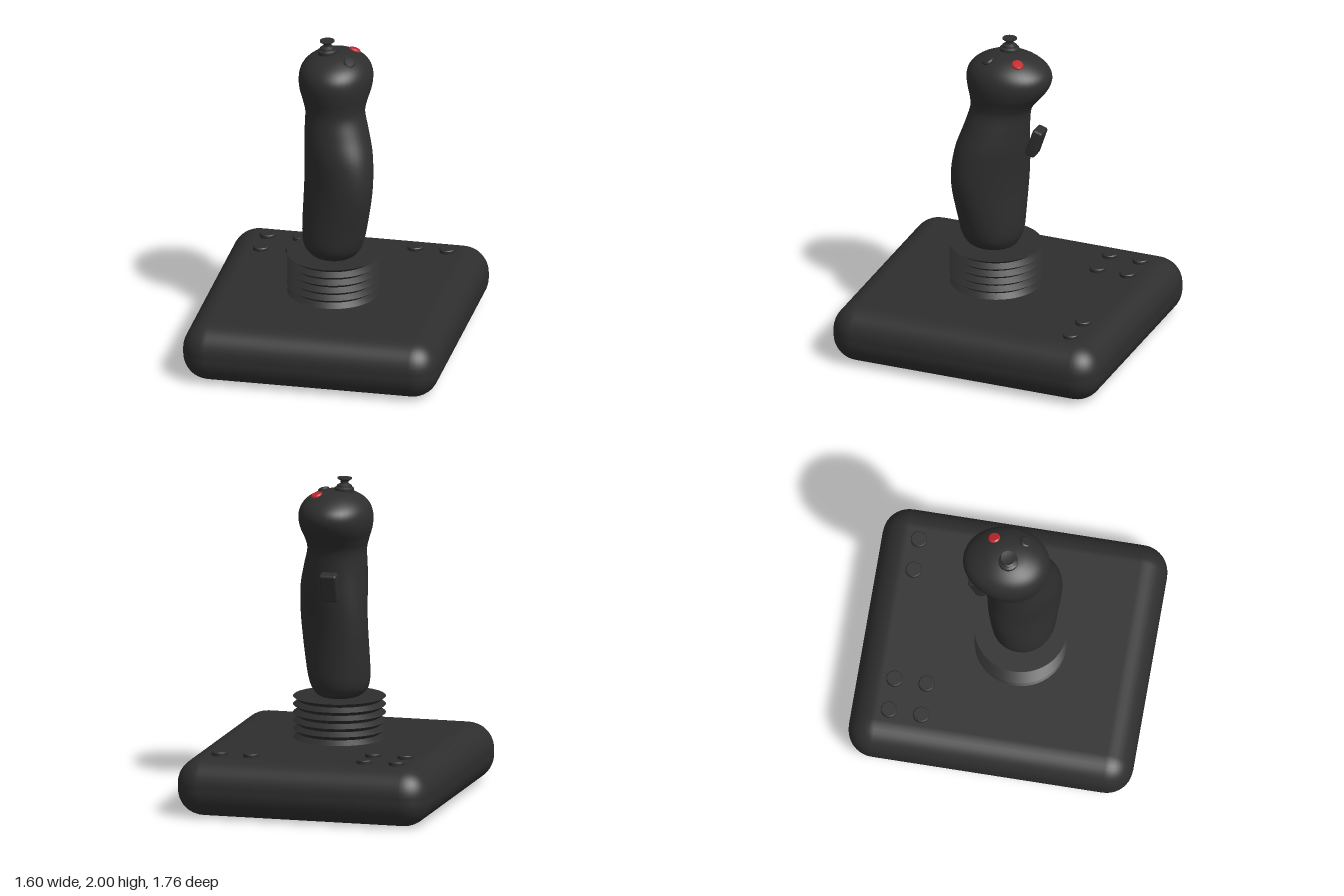
import * as THREE from 'three';
import { toCreasedNormals } from 'three/addons/utils/BufferGeometryUtils.js';
import { RoundedBoxGeometry } from 'three/addons/geometries/RoundedBoxGeometry.js';

// Grip sections: y, left x, right x, front z, back z
const SECTIONS = [
  [0.615, 0.0, 0.001, 0.101, 0.1],
  [0.62, -0.11, 0.12, 0.22, -0.03],
  [0.66, -0.165, 0.17, 0.265, -0.068],
  [0.72, -0.187, 0.197, 0.288, -0.09],
  [0.82, -0.192, 0.22, 0.297, -0.098],
  [1.0, -0.19, 0.253, 0.312, -0.107],
  [1.14, -0.187, 0.266, 0.315, -0.116],
  [1.3, -0.185, 0.256, 0.298, -0.124],
  [1.44, -0.183, 0.22, 0.258, -0.129],
  [1.55, -0.181, 0.19, 0.231, -0.143],
  [1.62, -0.199, 0.198, 0.235, -0.187],
  [1.69, -0.222, 0.218, 0.251, -0.245],
  [1.76, -0.229, 0.226, 0.26, -0.276],
  [1.82, -0.216, 0.214, 0.246, -0.264],
  [1.87, -0.178, 0.178, 0.2, -0.21],
  [1.908, -0.115, 0.115, 0.125, -0.135],
  [1.922, -0.055, 0.055, 0.06, -0.07],
  [1.925, -0.001, 0.001, 0.0, -0.002],
];

// Smooth loft through the grip sections; the palm swell leans to front and +x
function gripGeometry(rows = 85, cols = 40) {
  const a = new THREE.CatmullRomCurve3(SECTIONS.map(s => new THREE.Vector3(s[1], s[0], s[3])), false, 'catmullrom', 0.5);
  const b = new THREE.CatmullRomCurve3(SECTIONS.map(s => new THREE.Vector3(s[2], s[0], s[4])), false, 'catmullrom', 0.5);
  const pos = [], index = [];
  for (let j = 0; j <= rows; j++) {
    const p = a.getPoint(j / rows), q = b.getPoint(j / rows);
    const lean = 0.36 * Math.exp(-(((p.y - 1.1) / 0.32) ** 2));
    for (let i = 0; i < cols; i++) {
      const t = i / cols * Math.PI * 2;
      pos.push(
        (p.x + q.x) / 2 + (q.x - p.x) / 2 * Math.cos(t),
        p.y,
        (p.z + q.z) / 2 + (p.z - q.z) / 2 * Math.sin(t + lean));
      if (j < rows) {
        const n = (i + 1) % cols, r = j * cols, u = r + cols;
        index.push(r + i, u + i, r + n, u + i, u + n, r + n);
      }
    }
  }
  const g = new THREE.BufferGeometry();
  g.setAttribute('position', new THREE.Float32BufferAttribute(pos, 3));
  g.setIndex(index);
  g.computeVertexNormals();
  return g;
}

const lathe = (pts, segments) => toCreasedNormals(
  new THREE.LatheGeometry(pts.map(p => new THREE.Vector2(p[0], p[1])), segments), 0.5);

export function createModel() {
  const group = new THREE.Group();
  const black = new THREE.MeshStandardMaterial({ color: 0x2e2e2e });
  black.name = 'black plastic';
  const red = new THREE.MeshStandardMaterial({ color: 0xc1272d });
  red.name = 'red plastic';
  const add = (name, geometry, material, x, y, z) => {
    const m = new THREE.Mesh(geometry, material);
    m.name = name;
    m.position.set(x, y, z);
    group.add(m);
    return m;
  };

  add('base', new RoundedBoxGeometry(1.6, 0.362, 1.764, 5, 0.165), black, 0, 0.181, 0);

  // Round buttons on the rear of the base
  const buttonGeo = lathe([[0, 0], [0.05, 0], [0.05, 0.02], [0.045, 0.025], [0, 0.025]], 24);
  for (const [x, z] of [[-0.565, -0.645], [-0.36, -0.645], [-0.565, -0.445], [-0.36, -0.445], [0.36, -0.645], [0.56, -0.645]])
    add('baseButton', buttonGeo, black, x, 0.36, z);

  // Pleated boot around the foot of the grip
  const pleats = [[0.285, 0.36]];
  for (let i = 0; i < 5; i++) {
    const y = 0.365 + i * 0.051;
    pleats.push([0.25, y + 0.0255], [0.285, y + 0.051]);
  }
  pleats.push([0, 0.62]);
  add('boot', lathe(pleats, 48), black, 0, 0, 0.08);

  add('grip', gripGeometry(), black, 0, 0, 0);

  // Thumb hat on top of the head
  const hat = add('thumbHat', lathe([
    [0, -0.03], [0.06, -0.03], [0.06, 0.015], [0.045, 0.025], [0.045, 0.032], [0.024, 0.045],
    [0.024, 0.058], [0.045, 0.073], [0.045, 0.079], [0.025, 0.076], [0, 0.075]], 28), black, -0.05, 1.921, 0.01);
  hat.rotation.z = 0.04;

  // Tilted thumb buttons
  const thumbGeo = lathe([[0, -0.03], [0.037, -0.03], [0.037, 0.01], [0.03, 0.018], [0, 0.02]], 20);
  const redButton = add('redButton', thumbGeo, red, 0.093, 1.896, -0.1);
  redButton.rotation.set(-0.25, 0, -0.25);
  const sideButton = add('thumbButton', thumbGeo, black, 0.1, 1.893, 0.09);
  sideButton.rotation.set(0.35, 0, -0.3);

  // Trigger behind the grip
  const trigger = add('trigger', new RoundedBoxGeometry(0.11, 0.185, 0.066, 2, 0.016), black, -0.01, 1.35, -0.183);
  trigger.rotation.x = -0.32;

  return group;
}
